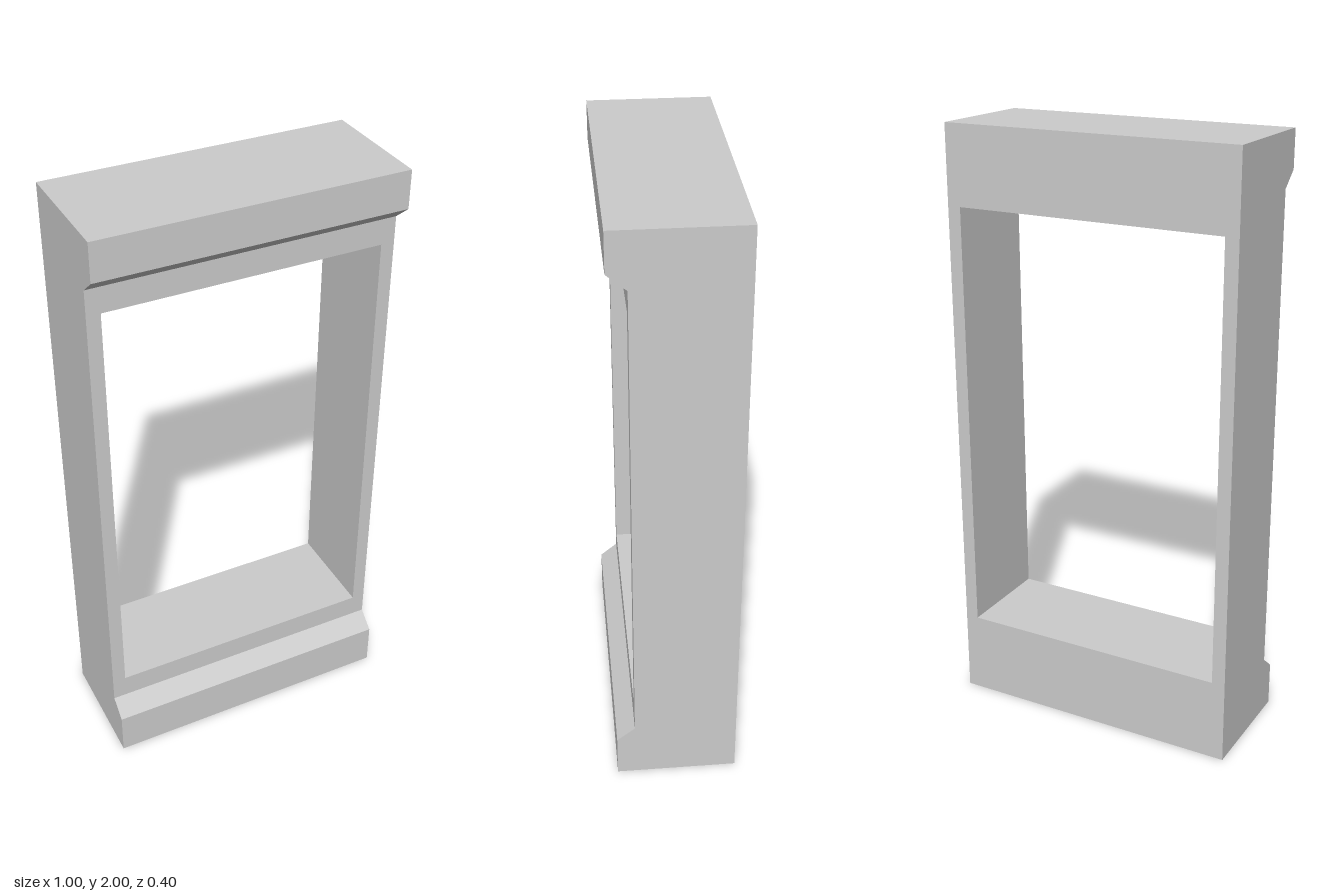
import * as THREE from 'three';

const WIDTH = 1, BACK = -0.2, FACE = 0.14, LIP = 0.2;
const OPEN_BOTTOM = 0.28, OPEN_TOP = 1.74, OPEN_HALF = 0.455;

export function createModel() {
  const group = new THREE.Group();
  const material = new THREE.MeshStandardMaterial({ color: 0xcccccc, flatShading: true });

  const add = (name, geometry) => {
    const mesh = new THREE.Mesh(geometry, material);
    mesh.name = name;
    group.add(mesh);
    return mesh;
  };

  // Rail: a (z, y) side profile swept across the full width
  const addRail = (name, profile) => {
    const shape = new THREE.Shape(profile.map(([z, y]) => new THREE.Vector2(z, y)));
    const geometry = new THREE.ExtrudeGeometry(shape, { depth: WIDTH, bevelEnabled: false });
    geometry.rotateY(-Math.PI / 2).translate(WIDTH / 2, 0, 0);
    add(name, geometry);
  };

  // Bottom rail with a sloped sill
  addRail('bottomRail', [
    [BACK, 0], [LIP, 0], [LIP, 0.15], [FACE, 0.2], [FACE, OPEN_BOTTOM], [BACK, OPEN_BOTTOM],
  ]);

  // Top rail with an overhanging, chamfered header
  addRail('topRail', [
    [BACK, OPEN_TOP], [FACE, OPEN_TOP], [FACE, 1.825], [LIP, 1.875], [LIP, 2], [BACK, 2],
  ]);

  // Side posts between the rails
  const postWidth = WIDTH / 2 - OPEN_HALF;
  for (const [name, side] of [['leftPost', 1], ['rightPost', -1]]) {
    const post = add(name, new THREE.BoxGeometry(postWidth, OPEN_TOP - OPEN_BOTTOM, FACE - BACK));
    post.position.set(side * (OPEN_HALF + postWidth / 2), (OPEN_TOP + OPEN_BOTTOM) / 2, (FACE + BACK) / 2);
  }

  return group;
}
